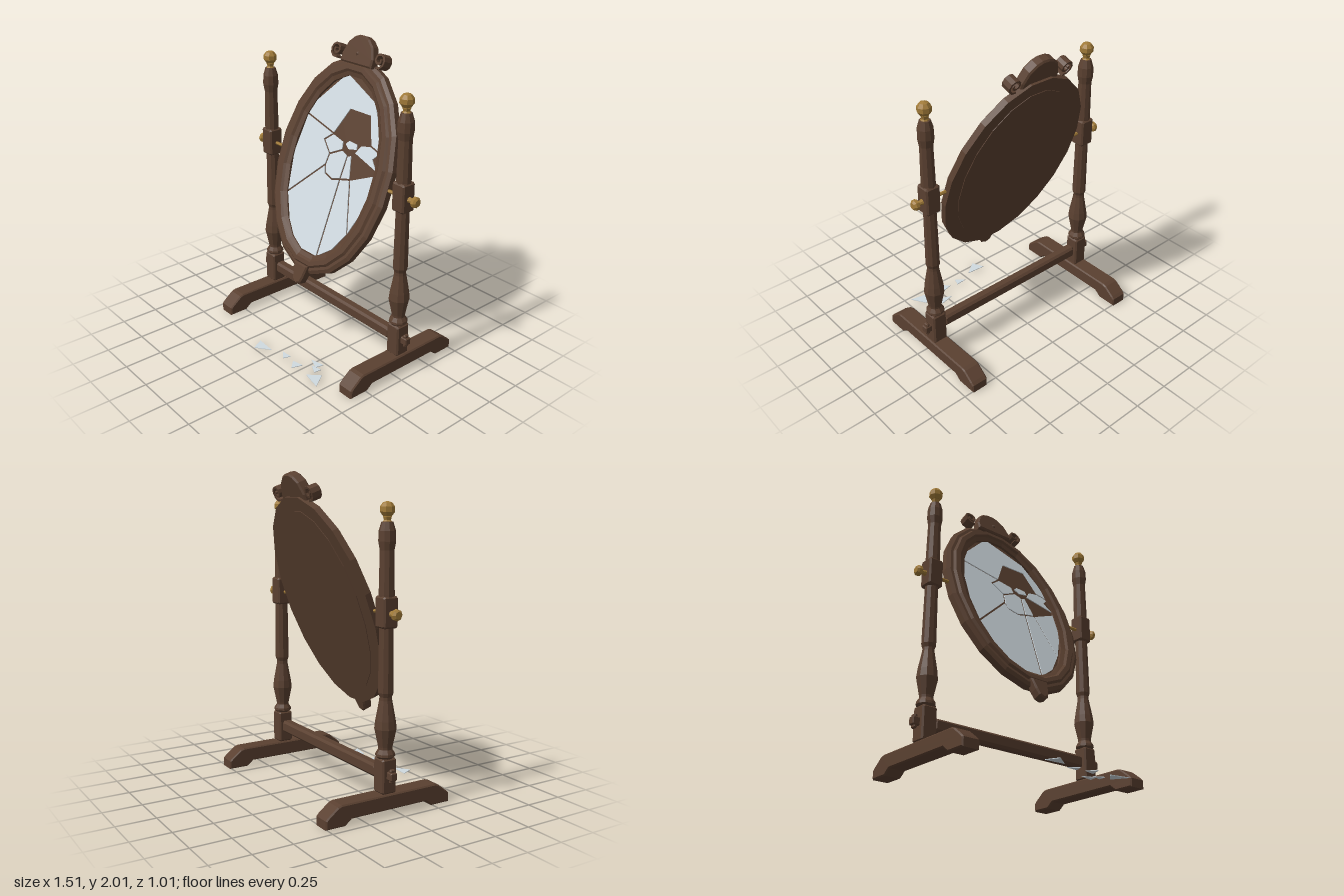
import * as THREE from 'three';

const wood = new THREE.MeshStandardMaterial({ color: 0x5a4030 });
wood.name = 'dark wood';
const brass = new THREE.MeshStandardMaterial({ color: 0xa07a38 });
brass.name = 'brass';
const glass = new THREE.MeshStandardMaterial({ color: 0xd0dae0 });
glass.name = 'silvered glass';

const POST_X = 0.635, MID_Z = -0.067, PIVOT_Y = 1.2, TILT = THREE.MathUtils.degToRad(20);

// Faceted mesh with a name and a place
function part(parent, name, geometry, material, x = 0, y = 0, z = 0) {
  const g = geometry.index ? geometry.toNonIndexed() : geometry;
  g.computeVertexNormals();
  const mesh = new THREE.Mesh(g, material);
  mesh.name = name;
  mesh.position.set(x, y, z);
  parent.add(mesh);
  return mesh;
}

const polygon = pts => new THREE.Shape(pts.map(p => new THREE.Vector2(p[0], p[1])));

// Plate between z0 and z1, with chamfered edges lying inside the outline
function plate(shape, z0, z1, c = 0) {
  const g = new THREE.ExtrudeGeometry(shape, {
    depth: z1 - z0 - 2 * c, bevelEnabled: c > 0, bevelSize: c, bevelOffset: -c,
    bevelThickness: c, bevelSegments: 1, curveSegments: 6,
  });
  return g.translate(0, 0, z0 + c);
}

function chamferBox(w, h, d, c) {
  const x = w / 2, y = h / 2;
  return plate(polygon([[c - x, -y], [x - c, -y], [x, c - y], [x, y - c],
    [x - c, y], [c - x, y], [-x, y - c], [-x, c - y]]), -d / 2, d / 2, c);
}

const lathe = (pts, sides) =>
  new THREE.LatheGeometry(pts.map(p => new THREE.Vector2(p[0], p[1])), sides);

// Oval outline with a flat at top, bottom and both sides
const SIDES = 20;
const oval = (rx, ry) => Array.from({ length: SIDES }, (_, i) => {
  const a = (i + 0.5) / SIDES * Math.PI * 2;
  return [rx * Math.cos(a), ry * Math.sin(a)];
});

// Moulding carried round the oval: each profile point is [rx, ry, z]
function ovalMoulding(profile) {
  const pos = [], index = [], n = profile.length;
  for (const [rx, ry, z] of profile) for (const [x, y] of oval(rx, ry)) pos.push(x, y, z);
  for (let j = 0; j < n; j++) for (let i = 0; i < SIDES; i++) {
    const k = (i + 1) % SIDES, m = (j + 1) % n;
    const a = j * SIDES + i, b = j * SIDES + k, c = m * SIDES + k, d = m * SIDES + i;
    index.push(a, b, c, a, c, d);
  }
  const g = new THREE.BufferGeometry();
  g.setAttribute('position', new THREE.Float32BufferAttribute(pos, 3));
  g.setIndex(index);
  return g;
}

// Move every edge of a polygon inwards, to leave a crack between neighbours
function inset(pts, gap) {
  const v = pts.map(p => new THREE.Vector2(p[0], p[1]));
  if (THREE.ShapeUtils.isClockWise(v)) v.reverse();
  return v.map((p, i) => {
    const a = p.clone().sub(v[(i + v.length - 1) % v.length]).normalize();
    const b = v[(i + 1) % v.length].clone().sub(p).normalize();
    const n = new THREE.Vector2(-a.y - b.y, a.x + b.x);
    const k = gap / Math.max(0.35, 1 + a.dot(b));
    return [p.x + n.x * k, p.y + n.y * k];
  });
}

// One foot, post and pivot; s is the side
function buildSide(s) {
  const side = new THREE.Group();
  side.name = s > 0 ? 'leftStand' : 'rightStand';
  side.position.set(s * POST_X, 0, MID_Z);

  // Foot with sloped ends and a raised underside
  const foot = plate(polygon([[-0.442, 0], [-0.31, 0], [-0.265, 0.035], [0.265, 0.035],
    [0.31, 0], [0.442, 0], [0.442, 0.055], [0.425, 0.072], [0.36, 0.122], [0.335, 0.13],
    [-0.335, 0.13], [-0.36, 0.122], [-0.425, 0.072], [-0.442, 0.055]]), -0.058, 0.058, 0.008);
  part(side, 'foot', foot.rotateY(-Math.PI / 2), wood);

  // Post: square blocks with turned lengths between
  part(side, 'postBase', chamferBox(0.1, 0.215, 0.1, 0.01), wood, 0, 0.237, 0);
  part(side, 'lowerPost', lathe([[0, 0.34], [0.045, 0.34], [0.06, 0.355], [0.058, 0.37], [0.042, 0.395],
    [0.043, 0.41], [0.066, 0.52], [0.06, 0.57], [0.038, 0.69], [0.037, 0.71], [0.046, 0.735],
    [0.042, 1.1], [0.042, 1.13]], 10), wood);
  part(side, 'pivotBlock', chamferBox(0.1, 0.185, 0.1, 0.01), wood, 0, 1.207, 0);
  part(side, 'upperPost', lathe([[0.046, 1.28], [0.046, 1.31], [0.042, 1.56], [0.051, 1.61],
    [0.049, 1.67], [0.034, 1.72], [0, 1.725]], 10), wood);
  part(side, 'finialNeck', lathe([[0.03, 1.715], [0.02, 1.73], [0.026, 1.75], [0, 1.76]], 8), brass);
  part(side, 'finialBall', new THREE.SphereGeometry(0.046, 8, 5), brass, 0, 1.79, 0);

  // Pivot rod and its knob
  const rod = new THREE.CylinderGeometry(0.011, 0.011, 0.235, 6).rotateZ(Math.PI / 2);
  part(side, 'pivotRod', rod, brass, -s * 0.035, PIVOT_Y, 0);
  const knob = lathe([[0, 0.045], [0.02, 0.045], [0.013, 0.075], [0.034, 0.088],
    [0.034, 0.108], [0.022, 0.12], [0, 0.12]], 8).rotateZ(-s * Math.PI / 2);
  part(side, 'pivotKnob', knob, brass, 0, PIVOT_Y, 0);

  // Stretcher tenon and wedge outside the post
  part(side, 'tenon', chamferBox(0.06, 0.05, 0.045, 0.006), wood, s * 0.065, 0.245, 0);
  part(side, 'wedge', chamferBox(0.022, 0.085, 0.036, 0.006), wood, s * 0.072, 0.245, 0);
  return side;
}

function buildMirror() {
  const mirror = new THREE.Group();
  mirror.name = 'mirror';
  mirror.position.set(0, PIVOT_Y, MID_Z);
  mirror.rotation.x = -TILT;

  // Oval frame and back board
  part(mirror, 'frame', ovalMoulding([[0.52, 0.712, -0.03], [0.52, 0.712, 0.012],
    [0.495, 0.69, 0.026], [0.475, 0.672, 0.026], [0.46, 0.66, 0.04], [0.425, 0.632, 0.04],
    [0.41, 0.618, 0.027], [0.38, 0.592, 0.016], [0.38, 0.592, -0.03]]), wood);
  part(mirror, 'backBoard', plate(polygon(oval(0.42, 0.625)), -0.034, 0), wood);

  // Crest with boss, and the drop below
  part(mirror, 'crest', plate(polygon([[-0.14, 0.66], [0.14, 0.66], [0.14, 0.715], [0.11, 0.79],
    [0.065, 0.83], [0.025, 0.845], [-0.025, 0.845], [-0.065, 0.83], [-0.11, 0.79], [-0.14, 0.715]]),
  -0.015, 0.052, 0.01), wood);
  part(mirror, 'crestBoss', new THREE.ConeGeometry(0.016, 0.012, 6).rotateX(Math.PI / 2),
    wood, 0, 0.73, 0.056);
  part(mirror, 'drop', plate(polygon([[-0.066, -0.66], [-0.05, -0.74], [-0.036, -0.782], [0, -0.8],
    [0.036, -0.782], [0.05, -0.74], [0.066, -0.66]]), -0.015, 0.05, 0.01), wood);

  // Scrolls beside the crest
  for (const s of [-1, 1]) {
    const outer = [], inner = [];
    for (let i = 0; i <= 14; i++) {
      const a = -0.6 * Math.PI + i / 14 * Math.PI * 2.8, r = 0.058 - 0.038 * i / 14;
      outer.push([s * r * Math.cos(a), r * Math.sin(a)]);
      inner.unshift([s * (r - 0.014) * Math.cos(a), (r - 0.014) * Math.sin(a)]);
    }
    part(mirror, 'scroll', plate(polygon([...outer, ...inner]), -0.015, 0.05), wood, s * 0.195, 0.725, 0);
  }

  // Cracked panes round the point of impact, with two pieces missing
  const panes = [
    [[-0.08, 1.765], [-0.31, 1.54], [-0.345, 1.455], [-0.06, 1.393], [0.03, 1.56], [0.21, 1.56],
      [0.28, 1.4], [0.375, 1.375], [0.33, 1.49], [0.225, 1.645]],
    [[-0.345, 1.455], [-0.385, 1.2], [-0.345, 0.945], [-0.06, 1.2], [-0.05, 1.27], [-0.13, 1.34], [-0.06, 1.393]],
    [[-0.345, 0.945], [-0.23, 0.735], [-0.09, 0.65], [0.08, 0.65], [0.1, 1.15], [0.03, 1.13],
      [-0.04, 1.15], [-0.06, 1.2]],
    [[0.08, 0.65], [0.2, 0.735], [0.288, 0.86], [0.185, 1.17], [0.1, 1.15]],
    [[0.288, 0.86], [0.375, 1.05], [0.388, 1.2], [0.385, 1.255], [0.185, 1.17]],
    [[0.2, 1.385], [0.28, 1.4], [0.375, 1.375], [0.33, 1.33], [0.385, 1.27], [0.16, 1.325]],
    [[0.045, 1.37], [-0.06, 1.393], [-0.13, 1.34], [-0.05, 1.27], [0.055, 1.32]],
    [[0.055, 1.32], [-0.05, 1.27], [-0.06, 1.2], [-0.04, 1.15], [0.03, 1.13], [0.1, 1.15], [0.11, 1.3]],
    [[0.11, 1.3], [0.1, 1.15], [0.185, 1.17], [0.145, 1.31]],
    [[0.06, 1.36], [0.1, 1.33], [0.18, 1.345], [0.17, 1.385], [0.09, 1.39]],
  ];
  for (const p of panes) {
    const local = p.map(([x, y]) => [x, (y - PIVOT_Y) / Math.cos(TILT)]);
    part(mirror, 'pane', plate(polygon(inset(local, 0.006)), 0.002, 0.008), glass);
  }
  return mirror;
}

export function createModel() {
  const model = new THREE.Group();
  model.name = 'brokenStandingMirror';
  model.add(buildSide(1), buildSide(-1), buildMirror());
  part(model, 'stretcher', chamferBox(1.17, 0.08, 0.07, 0.014), wood, 0, 0.245, MID_Z);

  // Fallen shards, as [x, z] corners
  const shards = [
    [[-0.165, 0.425], [-0.03, 0.435], [-0.125, 0.505]],
    [[0.035, 0.39], [0.112, 0.385], [0.095, 0.435]],
    [[0.163, 0.405], [0.24, 0.388], [0.215, 0.46]],
    [[0.228, 0.305], [0.325, 0.285], [0.312, 0.34]],
    [[0.28, 0.345], [0.355, 0.33], [0.348, 0.38]],
    [[0.405, 0.365], [0.467, 0.463], [0.335, 0.435]],
  ];
  for (const p of shards) {
    const g = plate(polygon(p.map(([x, z]) => [x, -z])), 0, 0.004);
    part(model, 'shard', g.rotateX(-Math.PI / 2), glass, 0, 0.014, 0);
  }
  return model;
}
